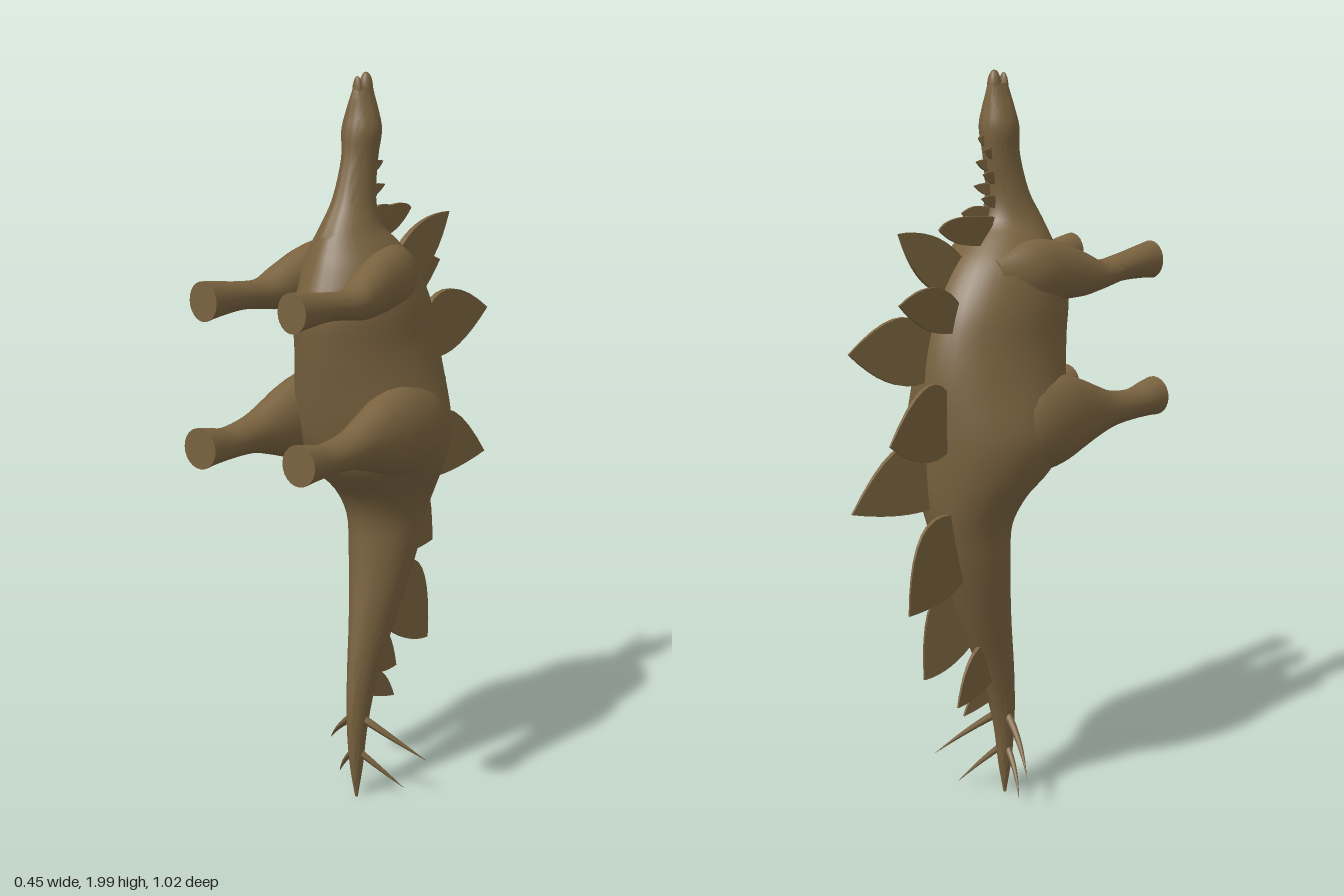
import * as THREE from 'three';
import { toCreasedNormals } from 'three/addons/utils/BufferGeometryUtils.js';

const hide = new THREE.MeshStandardMaterial({ color: 0x79623f });
hide.name = 'brownHide';

// Smooth closed skin through sections: each is [t, ...numbers]; ring(section, angle) gives a point.
function loft(sections, steps, sides, ring) {
  const size = sections[0].length;
  const at = new THREE.CubicInterpolant(sections.map((_, i) => i), sections.flat(), size, new Float32Array(size));
  const pos = [], idx = [], rows = [];
  for (let i = 0; i <= steps; i++) rows.push(Array.from(at.evaluate((i / steps) * (sections.length - 1))));
  const pushRing = (row, k) => {
    const pts = [];
    for (let j = 0; j < sides; j++) pts.push(ring(row, (j / sides) * Math.PI * 2));
    const mid = pts.reduce((m, p) => m.add(p), new THREE.Vector3()).divideScalar(sides);
    pts.forEach((p) => pos.push(...p.lerp(mid, 1 - k).toArray()));
  };
  pushRing(rows[0], 0.001);
  rows.forEach((r) => pushRing(r, 1));
  pushRing(rows[steps], 0.001);
  for (let i = 0; i < steps + 2; i++) {
    for (let j = 0; j < sides; j++) {
      const a = i * sides + j, b = i * sides + ((j + 1) % sides), c = a + sides, d = b + sides;
      idx.push(a, c, b, b, c, d);
    }
  }
  const g = new THREE.BufferGeometry();
  g.setAttribute('position', new THREE.Float32BufferAttribute(pos, 3));
  g.setIndex(idx);
  return toCreasedNormals(g, 0.9);
}

// Body rings: height, belly z, back z, half width
const bodySections = [
  [0.01, 0.041, 0.034, 0.004], [0.1, 0.06, 0.015, 0.016], [0.2, 0.07, 0, 0.024],
  [0.3, 0.07, -0.03, 0.031], [0.4, 0.06, -0.07, 0.042], [0.5, 0.045, -0.12, 0.056],
  [0.6, 0.03, -0.165, 0.074], [0.7, 0.02, -0.205, 0.09], [0.8, 0.02, -0.235, 0.105],
  [0.88, 0.06, -0.25, 0.14], [0.95, 0.14, -0.257, 0.182], [1.03, 0.18, -0.262, 0.208],
  [1.1, 0.2, -0.265, 0.205], [1.2, 0.222, -0.265, 0.18], [1.3, 0.24, -0.25, 0.163],
  [1.4, 0.247, -0.215, 0.158], [1.5, 0.212, -0.15, 0.138], [1.56, 0.185, -0.09, 0.105],
  [1.61, 0.16, -0.035, 0.074], [1.68, 0.115, -0.022, 0.052], [1.78, 0.08, -0.037, 0.044],
  [1.85, 0.07, -0.045, 0.052], [1.9, 0.056, -0.038, 0.042], [1.94, 0.047, -0.032, 0.028],
  [1.965, 0.038, -0.028, 0.02],
];
const bodyRing = ([y, front, back, w], a) => {
  const c = Math.cos(a), s = Math.sin(a), mid = front * 0.5 + back * 0.5;
  const p = s > 0 ? 1.2 : 1; // slightly keeled belly
  return new THREE.Vector3(w * Math.sign(c) * Math.abs(c) ** p, y, mid + s * (front - back) * 0.5);
};

// Leg rings: z, centre x, centre y, x radius, y radius
const hindLeg = [
  [0.51, 0.155, 1.08, 0.05, 0.054], [0.47, 0.155, 1.078, 0.048, 0.049], [0.4, 0.155, 1.072, 0.045, 0.042],
  [0.3, 0.155, 1.075, 0.048, 0.05], [0.22, 0.152, 1.08, 0.056, 0.075], [0.15, 0.15, 1.083, 0.066, 0.1],
  [0.05, 0.145, 1.08, 0.08, 0.125], [-0.08, 0.125, 1.07, 0.082, 0.115], [-0.18, 0.08, 1.06, 0.03, 0.05],
];
const frontLeg = [
  [0.51, 0.137, 1.462, 0.043, 0.052], [0.46, 0.137, 1.461, 0.042, 0.046], [0.36, 0.137, 1.455, 0.042, 0.037],
  [0.27, 0.137, 1.446, 0.045, 0.04], [0.2, 0.13, 1.455, 0.051, 0.06], [0.1, 0.115, 1.473, 0.058, 0.08],
  [0, 0.1, 1.475, 0.06, 0.085], [-0.1, 0.07, 1.46, 0.04, 0.06],
];
const legRing = (side) => ([z, cx, cy, rx, ry], a) =>
  new THREE.Vector3(side * cx + rx * Math.cos(a), cy + ry * Math.sin(a), z);

// Back plate: leaf outline in (depth behind, height), leaning outward toward the tip
function plateGeometry([u0, y0, ca, ya, tu, ty, cb, yb, u1, y1], side, thick) {
  const s = new THREE.Shape();
  s.moveTo(u0, y0);
  s.quadraticCurveTo(ca, ya, tu, ty);
  s.quadraticCurveTo(cb, yb, u1, y1);
  const g = new THREE.ExtrudeGeometry(s, { depth: thick, bevelEnabled: false, curveSegments: 10 });
  g.translate(0, 0, -thick / 2).rotateY(Math.PI / 2);
  const p = g.attributes.position, base = Math.min(u0, u1);
  for (let i = 0; i < p.count; i++) {
    const u = -p.getZ(i), t = THREE.MathUtils.clamp((u - base) / (tu - base), 0, 1);
    p.setX(i, p.getX(i) * (1 - 0.75 * t) + side * (0.01 + 0.12 * (u - 0.04)));
  }
  g.computeVertexNormals();
  return g;
}
const plates = [
  [0.03, 1.62, 0.24, 1.65, 0.28, 1.61, 0.2, 1.55, 0.06, 1.55],
  [0.1, 1.49, 0.19, 1.61, 0.34, 1.6, 0.27, 1.42, 0.14, 1.43],
  [0.17, 1.38, 0.27, 1.52, 0.46, 1.44, 0.33, 1.33, 0.2, 1.34],
  [0.21, 1.29, 0.29, 1.47, 0.51, 1.31, 0.34, 1.16, 0.22, 1.22],
  [0.22, 1.14, 0.31, 1.32, 0.505, 1.09, 0.33, 0.97, 0.22, 1.05],
  [0.22, 0.97, 0.31, 1.16, 0.505, 0.895, 0.33, 0.85, 0.21, 0.87],
  [0.2, 0.85, 0.42, 0.92, 0.425, 0.63, 0.2, 0.62, 0.15, 0.7],
  [0.11, 0.64, 0.28, 0.7, 0.26, 0.4, 0.14, 0.4, 0.04, 0.52],
  [0.04, 0.47, 0.16, 0.48, 0.2, 0.32, 0.07, 0.32, 0, 0.38],
  [0, 0.36, 0.07, 0.38, 0.117, 0.265, 0.03, 0.28, -0.02, 0.31],
];

// Tapering curved spike
function spikeGeometry(a, b, c, r) {
  const curve = new THREE.QuadraticBezierCurve3(...[a, b, c].map((v) => new THREE.Vector3(...v)));
  const g = new THREE.TubeGeometry(curve, 12, r, 8, false);
  const p = g.attributes.position, v = new THREE.Vector3();
  for (let i = 0; i < p.count; i++) {
    const t = Math.floor(i / 9) / 12;
    v.fromBufferAttribute(p, i).lerp(curve.getPointAt(t), t ** 1.4 * 0.98);
    p.setXYZ(i, v.x, v.y, v.z);
  }
  g.computeVertexNormals();
  return g;
}

export function createModel() {
  const model = new THREE.Group();
  model.name = 'platedDinosaur';
  const add = (name, geo) => {
    const m = new THREE.Mesh(geo, hide);
    m.name = name;
    model.add(m);
    return m;
  };

  add('body', loft(bodySections, 96, 36, bodyRing));

  // Upper beak and lower jaw
  const upper = add('upperBeak', new THREE.SphereGeometry(1, 16, 12));
  upper.scale.set(0.018, 0.045, 0.02);
  upper.position.set(0, 1.955, -0.009);
  const lower = add('lowerJaw', new THREE.SphereGeometry(1, 16, 12));
  lower.scale.set(0.015, 0.045, 0.011);
  lower.position.set(0, 1.947, 0.03);

  for (const side of [-1, 1]) {
    const label = side > 0 ? 'left' : 'right';
    add(label + 'HindLeg', loft(hindLeg, 32, 24, legRing(side)));
    add(label + 'FrontLeg', loft(frontLeg, 32, 24, legRing(side)));
    add(label + 'UpperTailSpike',
      spikeGeometry([0, 0.25, 0.035], [side * 0.09, 0.19, 0], [side * 0.162, 0.115, -0.07], 0.012));
    add(label + 'LowerTailSpike',
      spikeGeometry([0, 0.15, 0.04], [side * 0.06, 0.1, 0.015], [side * 0.108, 0.035, -0.036], 0.01));
  }

  // Plates alternate between the two rows
  plates.forEach((p, i) => add('backPlate' + (i + 1), plateGeometry(p, i % 2 ? 1 : -1, 0.02)));

  // Small plates along the neck
  for (let i = 0; i < 7; i++) {
    const y = 1.82 - i * 0.031, r = 0.06 + i * 0.004;
    add('neckPlate' + (i + 1), plateGeometry(
      [0.015, y + 0.008, 0.045, y + 0.014, r, y + 0.006, 0.045, y - 0.02, 0.015, y - 0.024], i % 2 ? -1 : 1, 0.012));
  }
  add('neckPlate8', plateGeometry([0, 1.62, 0.05, 1.67, 0.12, 1.635, 0.07, 1.58, 0.01, 1.58], 1, 0.014));
  return model;
}
